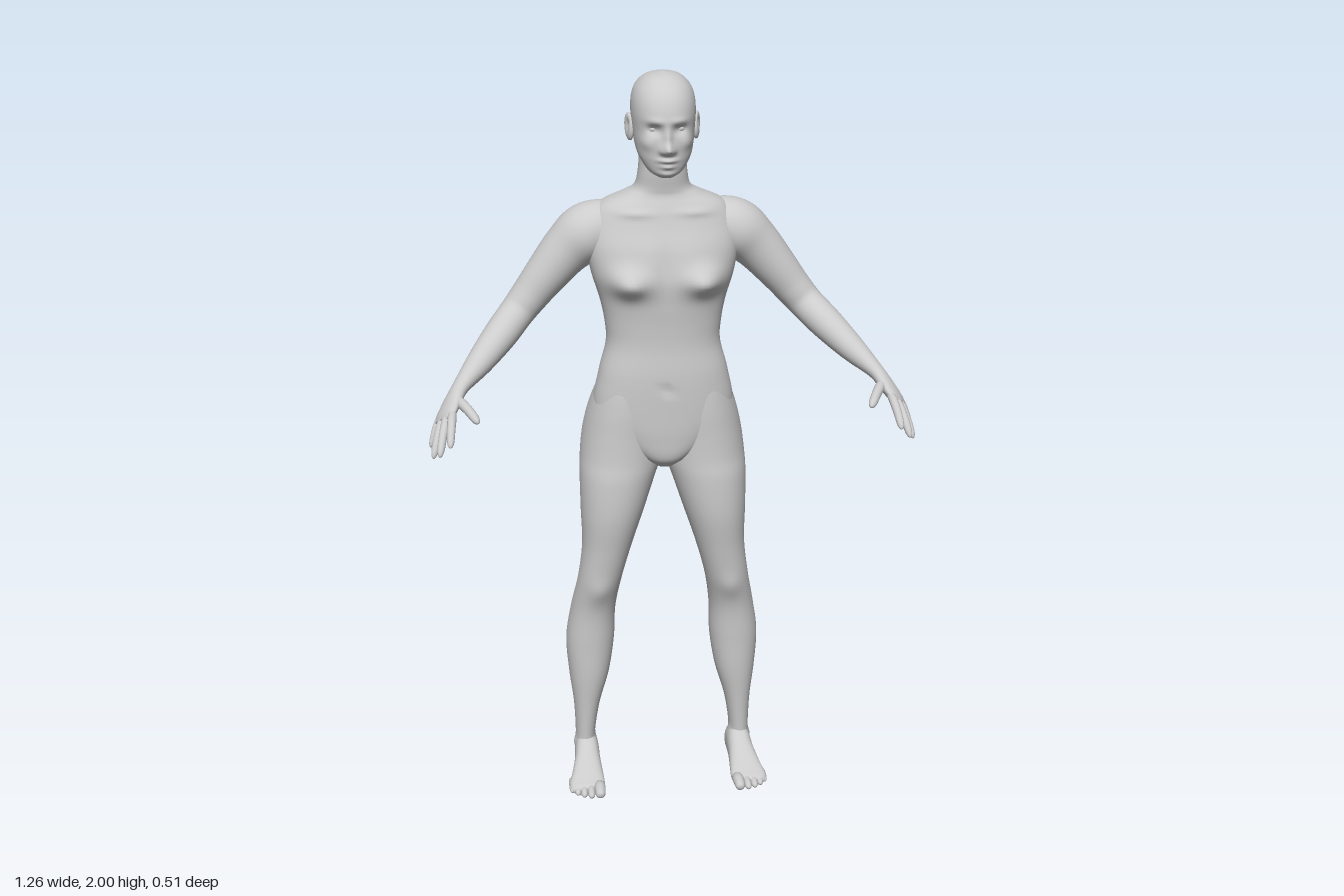
import * as THREE from 'three';

const material = new THREE.MeshStandardMaterial({ color: 0xcccccc });

// Catmull-Rom interpolation through rows of section values
function spline(keys, steps) {
  const rows = [];
  const at = i => keys[Math.max(0, Math.min(keys.length - 1, i))];
  for (let i = 0; i < keys.length - 1; i++) {
    for (let s = 0; s < steps; s++) {
      const t = s / steps;
      rows.push(keys[i].map((_, k) => {
        const a = at(i - 1)[k], b = at(i)[k], c = at(i + 1)[k], d = at(i + 2)[k];
        return b + 0.5 * t * (c - a + t * (2 * a - 5 * b + 4 * c - d + t * (3 * (b - c) + d - a)));
      }));
    }
  }
  rows.push(keys[keys.length - 1]);
  return rows;
}

// Skins rings of points into a closed smooth surface
function skin(rings, bumps = []) {
  const n = rings[0].length, index = [];
  const points = rings.flat();
  for (let i = 0; i < rings.length - 1; i++) {
    for (let j = 0; j < n; j++) {
      const a = i * n + j, b = i * n + (j + 1) % n;
      index.push(a, b, a + n, b, b + n, a + n);
    }
  }
  const last = (rings.length - 1) * n;
  const middle = ring => ring.reduce((s, p) => s.add(p), new THREE.Vector3()).divideScalar(n);
  points.push(middle(rings[0]), middle(rings[rings.length - 1]));
  for (let j = 0; j < n; j++) {
    const k = (j + 1) % n;
    index.push(points.length - 2, k, j, points.length - 1, last + j, last + k);
  }
  const geo = new THREE.BufferGeometry().setFromPoints(points);
  geo.setIndex(index);
  return sculpt(geo, bumps);
}

// Soft bumps, mirrored in x: centre xyz, spread xyz, push xyz
function sculpt(geo, bumps) {
  const pos = geo.attributes.position;
  for (let i = 0; i < pos.count; i++) {
    const x = pos.getX(i), y = pos.getY(i), z = pos.getZ(i);
    let dx = 0, dy = 0, dz = 0;
    for (const [cx, cy, cz, sx, sy, sz, px, py, pz] of bumps) {
      const w = Math.exp(-(((Math.abs(x) - cx) / sx) ** 2 + ((y - cy) / sy) ** 2 + ((z - cz) / sz) ** 2));
      dx += w * px * Math.sign(x);
      dy += w * py;
      dz += w * pz;
    }
    pos.setXYZ(i, x + dx, y + dy, z + dz);
  }
  geo.computeVertexNormals();
  return geo;
}

// Unit superellipse outline
function outline(sides, power) {
  const bend = v => Math.sign(v) * Math.abs(v) ** (2 / power);
  return Array.from({ length: sides }, (_, j) => {
    const a = (j / sides) * Math.PI * 2;
    return [bend(Math.cos(a)), bend(Math.sin(a))];
  });
}

// Level sections, rising: [y, xMin, xMax, zFront, zBack]
function column(keys, sides, steps, power, bumps) {
  const shape = outline(sides, power);
  return skin(spline(keys, steps).map(([y, x0, x1, zf, zb]) => shape.map(([c, s]) =>
    new THREE.Vector3((x0 + x1) / 2 + s * (x1 - x0) / 2, y, (zf + zb) / 2 + c * (zf - zb) / 2))), bumps);
}

// Sections square to a path: [x, y, z, radius along ref, radius across]
function limb(keys, ref, sides, steps) {
  const rows = spline(keys, steps), shape = outline(sides, 2);
  const centre = rows.map(r => new THREE.Vector3(r[0], r[1], r[2]));
  return skin(rows.map((r, i) => {
    const t = centre[Math.min(i + 1, rows.length - 1)].clone().sub(centre[Math.max(i - 1, 0)]).normalize();
    const u = ref.clone().addScaledVector(t, -ref.dot(t)).normalize();
    const v = t.clone().cross(u);
    return shape.map(([c, s]) => centre[i].clone().addScaledVector(u, c * r[3]).addScaledVector(v, s * r[4]));
  }));
}

// Finger or toe with a rounded tip
function digit(base, tip, arch, r, ref) {
  const at = (t, k) => [0, 1, 2].map(i => base[i] + (tip[i] - base[i]) * t
    + (i === 1 ? arch * Math.sin(Math.PI * t) : 0)).concat(r * k, r * k);
  return limb([at(0, 0.9), at(0.3, 1), at(0.6, 0.93), at(0.85, 0.82), at(0.96, 0.52), at(1, 0.08)], ref, 14, 4);
}

export function createModel() {
  const body = new THREE.Group();
  body.name = 'humanFigure';
  const add = (geo, name) => {
    const mesh = new THREE.Mesh(geo, material);
    mesh.name = name;
    body.add(mesh);
  };
  const pair = (geo, name) => {
    add(geo, 'left' + name);
    const other = geo.clone().scale(-1, 1, 1);
    other.index.array.reverse();
    add(other, 'right' + name);
  };
  const even = ([y, w, zf, zb]) => [y, -w, w, zf, zb];

  // Torso and neck
  add(column([
    [0.94, 0.025, -0.03, -0.1], [0.97, 0.07, 0, -0.14], [1.03, 0.15, 0.008, -0.18], [1.1, 0.187, 0.01, -0.2],
    [1.2, 0.172, 0.01, -0.19], [1.28, 0.152, 0.004, -0.19], [1.34, 0.155, 0.005, -0.196], [1.4, 0.167, 0.01, -0.21],
    [1.47, 0.188, 0.016, -0.222], [1.54, 0.2, 0.005, -0.227], [1.6, 0.195, -0.018, -0.225],
    [1.65, 0.165, -0.035, -0.205], [1.68, 0.105, -0.047, -0.18], [1.7, 0.074, -0.047, -0.166],
    [1.74, 0.064, -0.042, -0.157], [1.8, 0.06, -0.04, -0.16],
  ].map(even), 72, 8, 2.3, [
    [0.1, 1.465, 0, 0.048, 0.036, 0.06, 0, 0, 0.04], // chest
    [0, 1.5, 0, 0.02, 0.07, 0.05, 0, 0, -0.008], // breastbone
    [0.08, 1.64, -0.04, 0.05, 0.01, 0.03, 0, 0, 0.006], // collarbone
    [0, 1.36, -0.21, 0.022, 0.16, 0.05, 0, 0, 0.016], // spine
    [0.1, 1.55, -0.22, 0.045, 0.06, 0.05, 0, 0, -0.01], // shoulder blade
    [0, 1.17, 0.01, 0.011, 0.012, 0.03, 0, 0, -0.008], // navel
  ]), 'torso');

  // Head
  add(column([
    [1.743, 0.022, 0, -0.06], [1.758, 0.045, 0.014, -0.085], [1.79, 0.066, 0.02, -0.13], [1.82, 0.075, 0.022, -0.165],
    [1.86, 0.08, 0.023, -0.19], [1.9, 0.083, 0.025, -0.2], [1.935, 0.081, 0.015, -0.199], [1.962, 0.072, -0.002, -0.186],
    [1.982, 0.055, -0.024, -0.162], [1.994, 0.034, -0.048, -0.13], [2, 0.004, -0.08, -0.09],
  ].map(even), 112, 8, 2.15, [
    [0, 1.823, 0.025, 0.014, 0.014, 0.04, 0, 0, 0.03], // nose tip
    [0, 1.85, 0.025, 0.01, 0.025, 0.04, 0, 0, 0.012], // nose bridge
    [0.014, 1.817, 0.025, 0.008, 0.008, 0.04, 0, 0, 0.008], // nostrils
    [0.033, 1.87, 0.015, 0.018, 0.013, 0.04, 0, 0, -0.014], // eye sockets
    [0.03, 1.892, 0.02, 0.025, 0.009, 0.04, 0, 0, 0.005], // brows
    [0, 1.792, 0.02, 0.022, 0.006, 0.04, 0, 0, 0.012], // upper lip
    [0, 1.776, 0.02, 0.018, 0.006, 0.04, 0, 0, 0.01], // lower lip
    [0, 1.755, 0.015, 0.022, 0.01, 0.04, 0, 0, 0.007], // chin
    [0.05, 1.835, 0, 0.02, 0.018, 0.04, 0.003, 0, 0.005], // cheeks
  ]), 'head');
  pair(new THREE.SphereGeometry(0.013, 20, 14).scale(1.15, 0.75, 1).translate(0.033, 1.87, -0.008), 'Eye');

  // Ears
  pair(sculpt(new THREE.SphereGeometry(1, 32, 24).scale(0.011, 0.036, 0.022).rotateX(-0.2).rotateY(-0.25)
    .translate(0.087, 1.858, -0.092), [[0.098, 1.862, -0.088, 0.02, 0.018, 0.011, -0.01, 0, 0]]), 'Ear');

  // Legs with hips
  pair(column([
    [0.03, 0.19, 0.245, -0.09, -0.165], [0.06, 0.191, 0.247, -0.08, -0.166], [0.1, 0.193, 0.246, -0.083, -0.163],
    [0.2, 0.178, 0.25, -0.075, -0.17], [0.3, 0.15, 0.262, -0.065, -0.19], [0.4, 0.135, 0.268, -0.06, -0.2],
    [0.5, 0.131, 0.254, -0.052, -0.188], [0.6, 0.115, 0.235, -0.026, -0.162], [0.7, 0.088, 0.223, -0.01, -0.166],
    [0.8, 0.055, 0.225, 0.005, -0.19], [0.9, 0.022, 0.226, 0.007, -0.21], [0.96, 0, 0.223, 0.002, -0.237],
    [1.03, -0.008, 0.214, 0, -0.252], [1.1, -0.01, 0.197, 0, -0.235], [1.17, 0, 0.172, -0.005, -0.2],
    [1.24, 0.02, 0.14, -0.02, -0.17],
  ], 48, 7, 2.1, [
    [0.18, 0.575, -0.03, 0.03, 0.035, 0.03, 0, 0, 0.007], // kneecap
    [0.25, 0.075, -0.12, 0.02, 0.016, 0.02, 0.006, 0, 0], // outer ankle
    [0.19, 0.085, -0.115, 0.02, 0.016, 0.02, -0.006, 0, 0], // inner ankle
  ]), 'Leg');

  // Feet, sections from heel to ball: [z, centre x, half width, top y]
  const sole = outline(32, 2.4);
  pair(skin(spline([
    [-0.176, 0.216, 0.008, 0.045], [-0.168, 0.216, 0.023, 0.07], [-0.145, 0.216, 0.032, 0.095],
    [-0.1, 0.217, 0.034, 0.105], [-0.06, 0.219, 0.036, 0.086], [-0.01, 0.223, 0.043, 0.058],
    [0.03, 0.227, 0.049, 0.038], [0.052, 0.227, 0.045, 0.029], [0.062, 0.225, 0.036, 0.022],
  ], 6).map(([z, x, w, top]) => sole.map(([c, s]) =>
    new THREE.Vector3(x + c * w, top / 2 + s * top / 2, z)))), 'Foot');

  // Toes
  const up = new THREE.Vector3(0, 1, 0);
  [[0.196, 0.1, 0.016], [0.22, 0.094, 0.011], [0.239, 0.086, 0.0105], [0.256, 0.073, 0.01], [0.27, 0.056, 0.0095]]
    .forEach(([x, z, r], i) => pair(
      digit([x - 0.002, r + 0.004, z - 0.06], [x, r, z], 0.004, r, up), 'Toe' + (i + 1)));

  // Arms with palms
  const across = new THREE.Vector3(-0.51, 0.44, 0.73);
  pair(limb([
    [0.1, 1.59, -0.13, 0.05, 0.05], [0.15, 1.585, -0.13, 0.072, 0.072], [0.2, 1.567, -0.13, 0.08, 0.078],
    [0.25, 1.525, -0.13, 0.068, 0.067], [0.305, 1.461, -0.126, 0.058, 0.057], [0.35, 1.405, -0.122, 0.051, 0.05],
    [0.387, 1.362, -0.108, 0.047, 0.046], [0.433, 1.32, -0.055, 0.046, 0.044], [0.49, 1.27, 0.01, 0.037, 0.035],
    [0.543, 1.226, 0.073, 0.027, 0.021], [0.565, 1.198, 0.105, 0.035, 0.019], [0.584, 1.174, 0.138, 0.041, 0.015],
    [0.592, 1.163, 0.152, 0.036, 0.009],
  ], across, 36, 7), 'Arm');

  // Fingers
  [
    ['Thumb', [0.556, 1.207, 0.105], [0.504, 1.178, 0.214], 0.006, 0.0135],
    ['IndexFinger', [0.567, 1.188, 0.155], [0.577, 1.13, 0.256], 0.01, 0.0115],
    ['MiddleFinger', [0.58, 1.178, 0.147], [0.604, 1.1, 0.24], 0.01, 0.0115],
    ['RingFinger', [0.591, 1.168, 0.135], [0.62, 1.083, 0.203], 0.01, 0.011],
    ['LittleFinger', [0.6, 1.162, 0.118], [0.625, 1.092, 0.145], 0.006, 0.0095],
  ].forEach(([name, base, tip, arch, r]) => pair(digit(base, tip, arch, r, across), name));

  return body;
}
